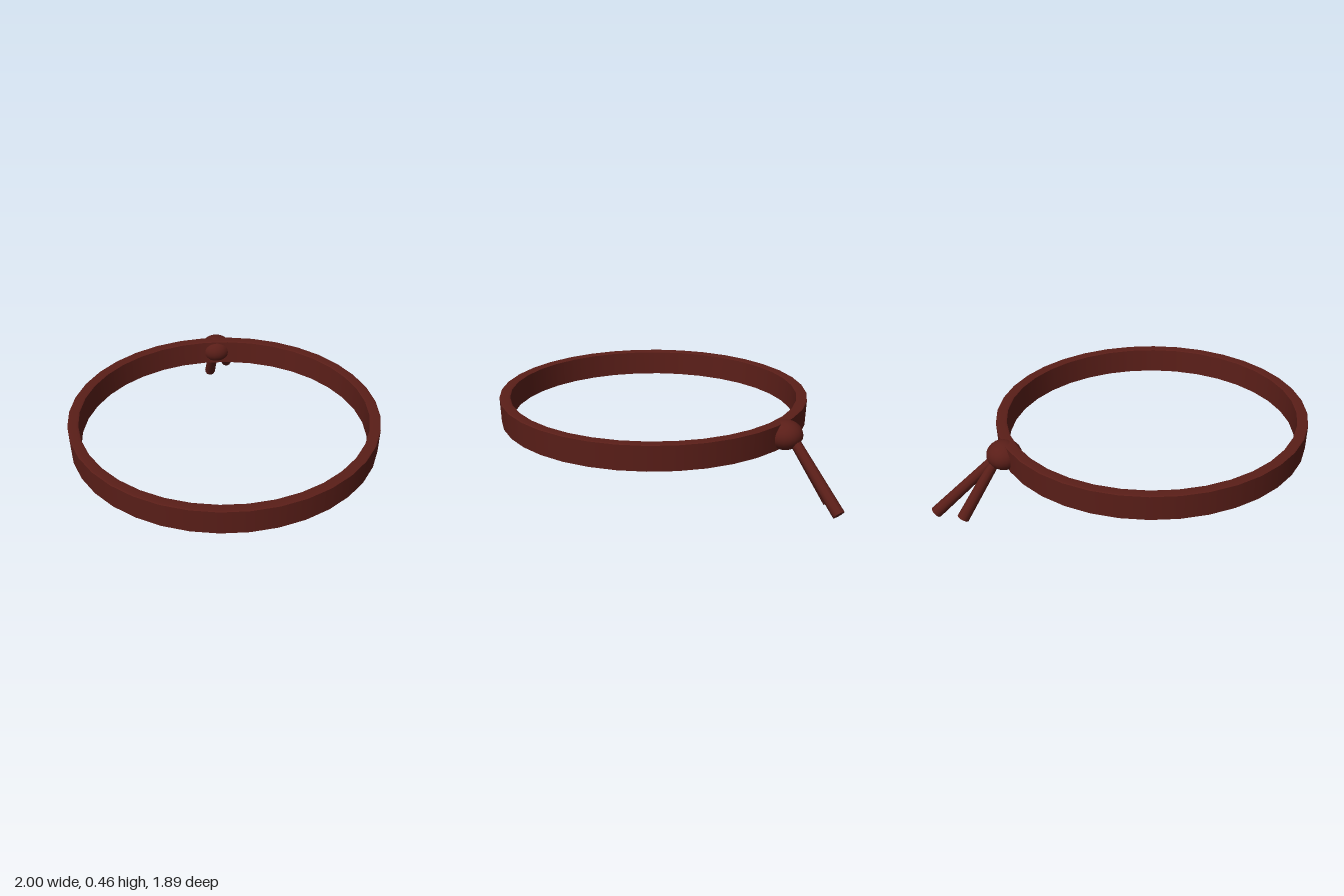
import * as THREE from 'three';

const leather = new THREE.MeshStandardMaterial({ color: 0x5a1e18, side: THREE.DoubleSide });

function add(group, name, geometry) {
  const mesh = new THREE.Mesh(geometry, leather);
  mesh.name = name;
  group.add(mesh);
  return mesh;
}

// Ring swept around the vertical axis from [radius, y] points
const ring = (points) => new THREE.LatheGeometry(points.map(([r, y]) => new THREE.Vector2(r, y)), 36);

// Cord that widens slightly from one point to the other
function cord(from, to) {
  const axis = to.clone().sub(from);
  const geometry = new THREE.CylinderGeometry(0.036, 0.03, axis.length(), 10);
  geometry.applyQuaternion(new THREE.Quaternion().setFromUnitVectors(
    new THREE.Vector3(0, 1, 0), axis.clone().normalize()));
  const middle = from.clone().add(to).multiplyScalar(0.5);
  return geometry.translate(middle.x, middle.y, middle.z);
}

export function createModel() {
  const model = new THREE.Group();
  model.name = 'headband';

  // Flat band with a soft upper rim, slightly narrower at the bottom
  const band = new THREE.Group();
  band.name = 'band';
  band.position.x = -0.055;
  model.add(band);
  const bottom = 0.305, top = 0.46;
  add(band, 'bandOuterWall', ring([[0.938, bottom], [0.945, top - 0.004]]));
  add(band, 'bandUpperRim', ring([[0.945, top - 0.004], [0.936, top], [0.889, top], [0.88, top - 0.004]]));
  add(band, 'bandInnerWall', ring([[0.88, top - 0.004], [0.873, bottom]]));
  add(band, 'bandLowerRim', ring([[0.873, bottom], [0.938, bottom]]));

  // Knot
  const knot = add(model, 'knot', new THREE.SphereGeometry(0.104, 20, 14));
  knot.scale.y = 0.83;
  knot.position.set(0.61, 0.38, -0.665);

  // Two loose ends hanging from the knot
  const start = new THREE.Vector3(0.635, 0.38, -0.695);
  [0.79, 0.97].forEach((x, i) => {
    add(model, i ? 'outerLooseEnd' : 'innerLooseEnd', cord(start, new THREE.Vector3(x, 0.028, -0.89)));
  });

  return model;
}
